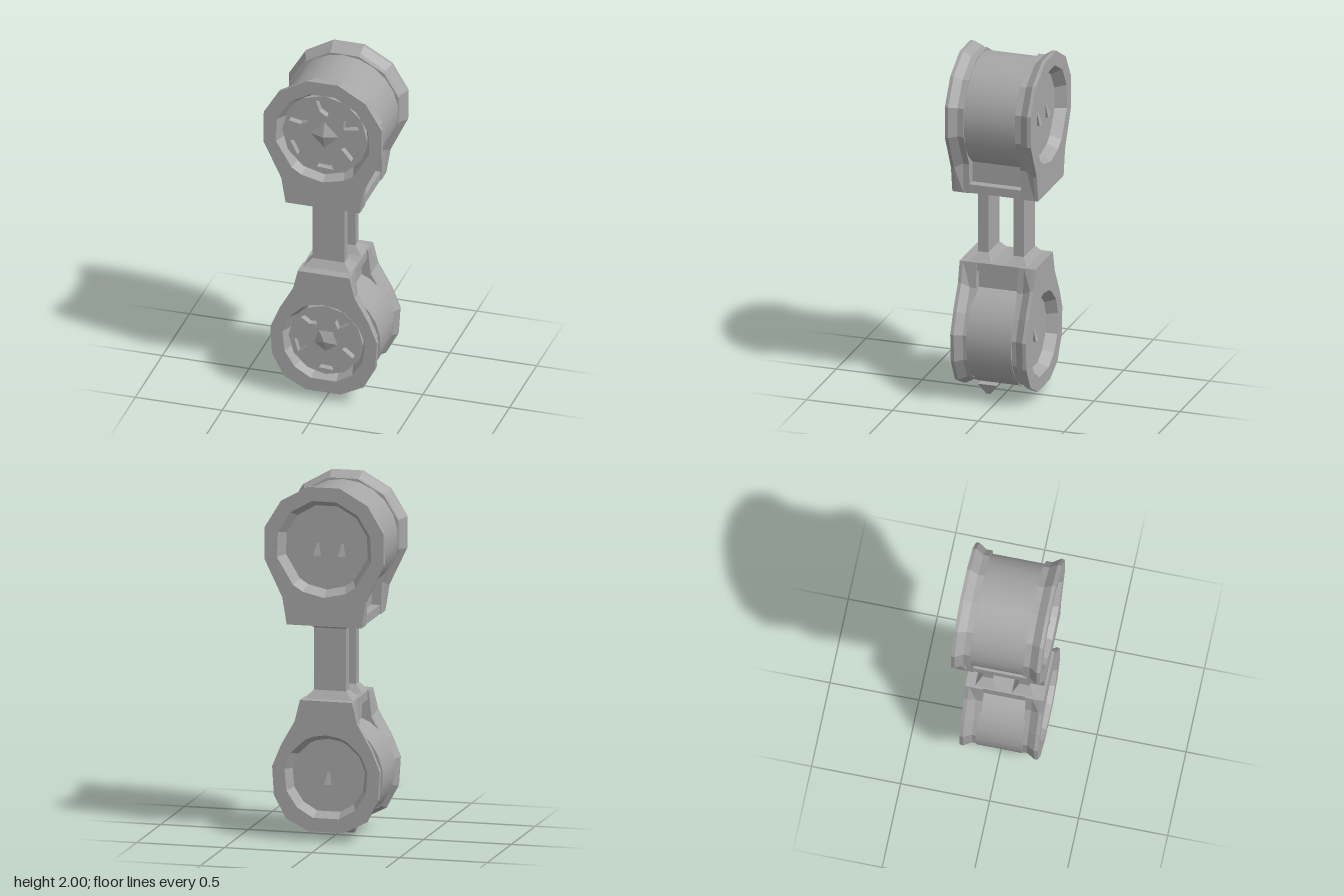
import * as THREE from 'three';

const grey = new THREE.MeshStandardMaterial({ color: 0xa6a6a6 });
grey.name = 'grey metal';

function flat(geometry) {
  const g = geometry.index ? geometry.toNonIndexed() : geometry;
  g.computeVertexNormals();
  return g;
}

function add(parent, name, geometry, x = 0, y = 0, z = 0) {
  const mesh = new THREE.Mesh(geometry, grey);
  mesh.name = name;
  mesh.position.set(x, y, z);
  parent.add(mesh);
  return mesh;
}

// Skin a list of closed rings of equal length
function loft(rings) {
  const n = rings[0].length, pos = [], idx = [];
  rings.forEach(r => r.forEach(p => pos.push(...p)));
  for (let i = 0; i < rings.length - 1; i++) {
    for (let j = 0; j < n; j++) {
      const a = i * n + j, b = i * n + (j + 1) % n;
      idx.push(a, b, b + n, a, b + n, a + n);
    }
  }
  const g = new THREE.BufferGeometry();
  g.setAttribute('position', new THREE.Float32BufferAttribute(pos, 3));
  g.setIndex(idx);
  return flat(g);
}

// Teardrop end plate with chamfered rim and a sunken round window
function plate(outline, base, hole, face, depth) {
  const circle = (r, z) => outline.map(([x, y]) => {
    const l = Math.hypot(x, y);
    return [x / l * r, y / l * r, z];
  });
  const small = z => outline.map(([x, y]) => Math.abs(y - base) < 0.001 ? [x, y, z] : [x * 0.92, y * 0.92, z]);
  return loft([
    circle(0, face - 0.1), small(face - 0.1), small(face - 0.065),
    outline.map(([x, y]) => [x, y, face - 0.02]),
    outline.map(([x, y]) => [x * 0.99, y, face]),
    circle(hole, face), circle(hole * 0.87, face - depth), circle(0, face - depth)
  ]);
}

// Window cover with a ring of triangular pockets
function cover(radius, count, start) {
  const shape = new THREE.Shape();
  const point = (r, a) => new THREE.Vector2(r * Math.cos(a), r * Math.sin(a));
  shape.setFromPoints(Array.from({ length: 12 }, (_, i) => point(radius, i * Math.PI / 6)));
  for (let i = 0; i < count; i++) {
    const a = start + i * 2 * Math.PI / count;
    shape.holes.push(new THREE.Path([
      point(radius * 0.85, a - 0.22), point(radius * 0.48, a - 0.12),
      point(radius * 0.6, a + 0.2), point(radius * 0.88, a + 0.24)
    ]));
  }
  return new THREE.ExtrudeGeometry(shape, { depth: 0.04, bevelEnabled: false });
}

// Drum held between two end plates, with a flat foot slab
function housing(o) {
  const group = new THREE.Group();
  group.name = o.name;
  group.position.set(0, o.y, o.z);
  const right = o.half.map(([x, y]) => [x, y - o.y]);
  const left = right.map(([x, y]) => [-x, y]).reverse();
  // order the points counter-clockwise, with one centre point on the foot
  const outline = [...right, ...left, [0, o.base]]
    .sort((a, b) => Math.atan2(a[1], a[0]) - Math.atan2(b[1], b[0]));

  add(group, 'frontPlate', plate(outline, o.base, o.hole, o.face, 0.08));
  add(group, 'backPlate', plate(outline, o.base, o.hole, o.face, 0.06)).rotation.y = Math.PI;

  const drum = new THREE.CylinderGeometry(o.drum, o.drum, 2 * (o.face - 0.09), 22);
  add(group, 'drum', drum.rotateX(Math.PI / 2));

  const s = Math.sign(o.base);
  const len = 2 * o.face - 0.04;
  add(group, 'footSlab', new THREE.BoxGeometry(2 * o.foot - 0.01, 0.05, len), 0, o.base - s * 0.026, 0);
  add(group, 'neck', new THREE.BoxGeometry(1.5 * o.foot, 0.2, len - 0.1), 0, o.base - s * 0.13, 0);

  add(group, 'windowCover', cover(o.hole * 0.89, o.pockets, o.start), 0, 0, o.face - 0.08);
  const hub = new THREE.ConeGeometry(o.hole * 0.3, 0.03, o.hubSides).rotateX(Math.PI / 2);
  add(group, 'hub', flat(hub), 0, 0, o.face - 0.026);

  // small raised darts on the rear window
  o.darts.forEach(x => {
    const dart = flat(new THREE.ConeGeometry(0.025, 0.1, 3));
    add(group, 'rearDart', dart, x, 0, -o.face + 0.06).rotation.x = 0.15;
  });
  return group;
}

export function createModel() {
  const model = new THREE.Group();
  model.name = 'twinDrumLink';

  model.add(housing({
    name: 'upperHousing', y: 1.655, z: 0, face: 0.25, hole: 0.275, drum: 0.313,
    base: 1.22 - 1.655, foot: 0.215, pockets: 6, start: Math.PI / 2, hubSides: 4, darts: [-0.09, 0.05],
    half: [[0.09, 2], [0.25, 1.91], [0.342, 1.76], [0.342, 1.58], [0.24, 1.37], [0.215, 1.22]]
  }));
  model.add(housing({
    name: 'lowerHousing', y: 0.36, z: 0.01, face: 0.22, hole: 0.24, drum: 0.3,
    base: 0.79 - 0.36, foot: 0.15, pockets: 5, start: -Math.PI / 2, hubSides: 5, darts: [0],
    half: [[0.1, 0.055], [0.23, 0.12], [0.3, 0.25], [0.31, 0.41], [0.26, 0.53], [0.18, 0.67], [0.15, 0.79]]
  }));

  // Flat posts flared at both ends
  const rect = (w, d, y) => [[w, y, d], [w, y, -d], [-w, y, -d], [-w, y, d]];
  [['frontPost', 0.112], ['backPost', -0.095]].forEach(([name, z]) => {
    add(model, name, loft([
      rect(0.14, 0.065, 0.785), rect(0.092, 0.03, 0.835),
      rect(0.092, 0.03, 1.185), rect(0.125, 0.055, 1.225)
    ]), 0, 0, z);
  });

  // Nub under the lower drum
  add(model, 'bottomNub', loft([
    rect(0, 0, 0), rect(0.085, 0.012, 0), rect(0.105, 0.055, 0.06), rect(0, 0, 0.06)
  ]), 0, 0, 0.085);

  return model;
}
